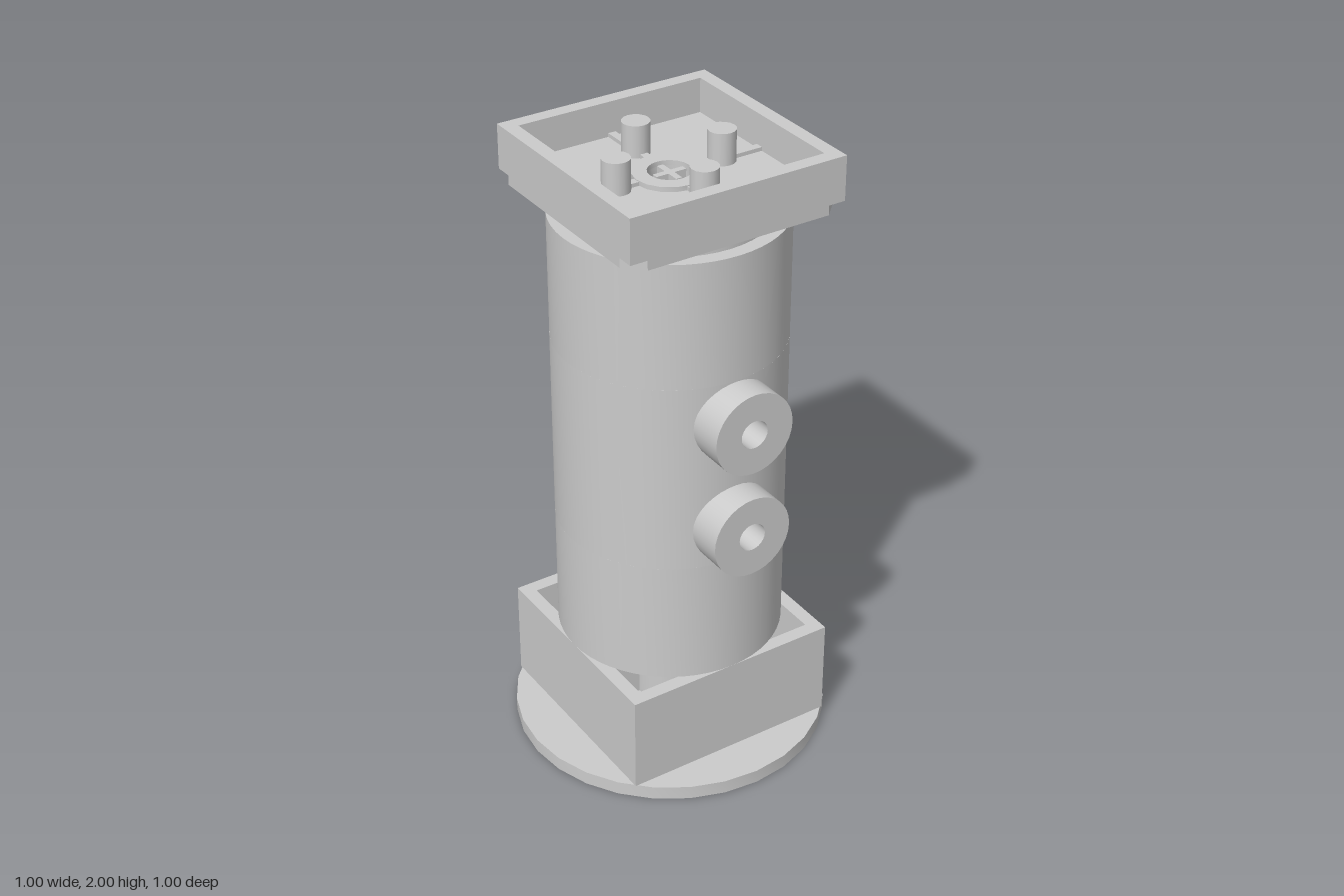
import * as THREE from 'three';
import { toCreasedNormals } from 'three/addons/utils/BufferGeometryUtils.js';

const material = new THREE.MeshStandardMaterial({ color: 0xcccccc, side: THREE.DoubleSide });

function add(group, name, geometry, x = 0, y = 0, z = 0) {
  const mesh = new THREE.Mesh(geometry, material);
  mesh.name = name;
  mesh.position.set(x, y, z);
  group.add(mesh);
  return mesh;
}

function circle(radius, sides, x = 0, y = 0, Type = THREE.Path) {
  const points = [];
  for (let i = 0; i < sides; i++) {
    const a = (i / sides) * Math.PI * 2;
    points.push(new THREE.Vector2(x + radius * Math.cos(a), y + radius * Math.sin(a)));
  }
  return new Type(points);
}

function rectangle(w, h, Type = THREE.Shape) {
  return new Type([[-w, -h], [w, -h], [w, h], [-w, h]].map(([x, y]) => new THREE.Vector2(x, y)));
}

// Extrude along z, with sharp rims and smooth round walls
function extrude(shape, depth, holes = []) {
  shape.holes.push(...holes);
  const g = new THREE.ExtrudeGeometry(shape, { depth, bevelEnabled: false, curveSegments: 16 });
  return toCreasedNormals(g, 0.5);
}

// Extrude upwards; shape y becomes -z
const slab = (shape, depth, holes) => extrude(shape, depth, holes).rotateX(-Math.PI / 2);
const disc = (r, sides) => circle(r, sides, 0, 0, THREE.Shape);
const post = (r, h, sides = 16) => new THREE.CylinderGeometry(r, r, h, sides);

// Four ribs running from the central ring to the walls
function ribs(group, name, y, h) {
  for (let i = 0; i < 4; i++) {
    const rib = add(group, name, new THREE.BoxGeometry(0.205, h, 0.025).translate(0.21, 0, 0), 0, y, 0);
    rib.rotation.y = (i * Math.PI) / 2;
  }
}

function createBase() {
  const g = new THREE.Group();
  g.name = 'base';
  add(g, 'footDisc', slab(disc(0.5, 28), 0.045, [circle(0.107, 24)]));
  add(g, 'baseWalls', slab(rectangle(0.355, 0.355), 0.32, [rectangle(0.31, 0.31, THREE.Path)]), 0, 0.045);
  add(g, 'baseFloor', slab(rectangle(0.31, 0.31), 0.045, [circle(0.107, 24)]), 0, 0.045);
  add(g, 'baseTube', slab(disc(0.125, 24), 0.275, [circle(0.1, 24)]), 0, 0.09);
  ribs(g, 'baseRib', 0.16, 0.14);
  return g;
}

function createBody() {
  const g = new THREE.Group();
  g.name = 'body';
  const R = 0.355, W = 0.143, bottom = 0.77, top = 1.39, ports = [0.9, 1.255];

  // Column: full below and above the window, notched at the back between
  add(g, 'lowerColumn', slab(disc(R, 56), bottom - 0.365), 0, 0.365);
  add(g, 'upperColumn', slab(disc(R, 56), 1.79 - top), 0, top);
  const notch = [new THREE.Vector2(W, 0.12), new THREE.Vector2(-W, 0.12)];
  const a0 = Math.acos(-W / R), sweep = 2 * Math.PI - (a0 - Math.acos(W / R));
  for (let i = 0; i <= 52; i++) {
    const a = a0 + (sweep * i) / 52;
    notch.push(new THREE.Vector2(R * Math.cos(a), R * Math.sin(a)));
  }
  add(g, 'windowColumn', slab(new THREE.Shape(notch), top - bottom), 0, bottom);

  // Window floor with two round sockets
  const mid = (top + bottom) / 2;
  const sockets = ports.map((y) => circle(0.125, 32, 0, y - mid));
  add(g, 'windowFloor', extrude(rectangle(W, (top - bottom) / 2), 0.05, sockets), 0, mid, -0.17);
  for (const y of ports) {
    add(g, 'socketRing', extrude(disc(0.125, 32), 0.025, [circle(0.095, 32)]), 0, y, -0.145);
    add(g, 'frontPort', extrude(disc(0.132, 32), 0.165, [circle(0.045, 24)]), 0, y, 0.28);
  }

  // Stem with side wings inside the window
  add(g, 'stem', post(0.042, 0.195, 20).rotateX(Math.PI / 2), 0, 1.08, -0.2575);
  add(g, 'stemWings', new THREE.BoxGeometry(0.2, 0.03, 0.12), 0, 1.08, -0.225);

  add(g, 'neck', post(0.31, 0.04, 48), 0, 1.81, 0);
  return g;
}

function createHead() {
  const g = new THREE.Group();
  g.name = 'head';
  add(g, 'headWalls', slab(rectangle(0.355, 0.355), 0.14, [rectangle(0.31, 0.31, THREE.Path)]), 0, 1.86);
  add(g, 'headFloor', slab(rectangle(0.31, 0.31), 0.03, [circle(0.065, 20)]), 0, 1.86);

  // Lower plate with cut corners
  const a = 0.355, b = 0.3;
  const plate = [[a, -b], [a, b], [b, a], [-b, a], [-a, b], [-a, -b], [-b, -a], [b, -a]];
  add(g, 'lowerPlate', slab(new THREE.Shape(plate.map(([x, y]) => new THREE.Vector2(x, y))), 0.03), 0, 1.83);
  for (const x of [-1, 1]) for (const z of [-1, 1]) {
    add(g, 'cornerPeg', slab(disc(0.022, 12), 0.015, [circle(0.012, 12)]), x * 0.286, 1.817, z * 0.286);
  }

  // Hub, cross, ribs and posts inside the tray
  add(g, 'hubRing', slab(disc(0.112, 16), 0.015, [circle(0.065, 20)]), 0, 1.89);
  for (const turn of [0, Math.PI / 2]) {
    add(g, 'hubCross', new THREE.BoxGeometry(0.1, 0.04, 0.02), 0, 1.88).rotation.y = turn;
  }
  ribs(g, 'trayRib', 1.895, 0.014);
  for (const [x, z] of [[1, 0], [-1, 0], [0, 1], [0, -1]]) {
    add(g, 'trayPost', post(0.043, 0.1), x * 0.178, 1.94, z * 0.178);
  }
  return g;
}

export function createModel() {
  const model = new THREE.Group();
  model.name = 'column';
  model.add(createBase(), createBody(), createHead());
  return model;
}
